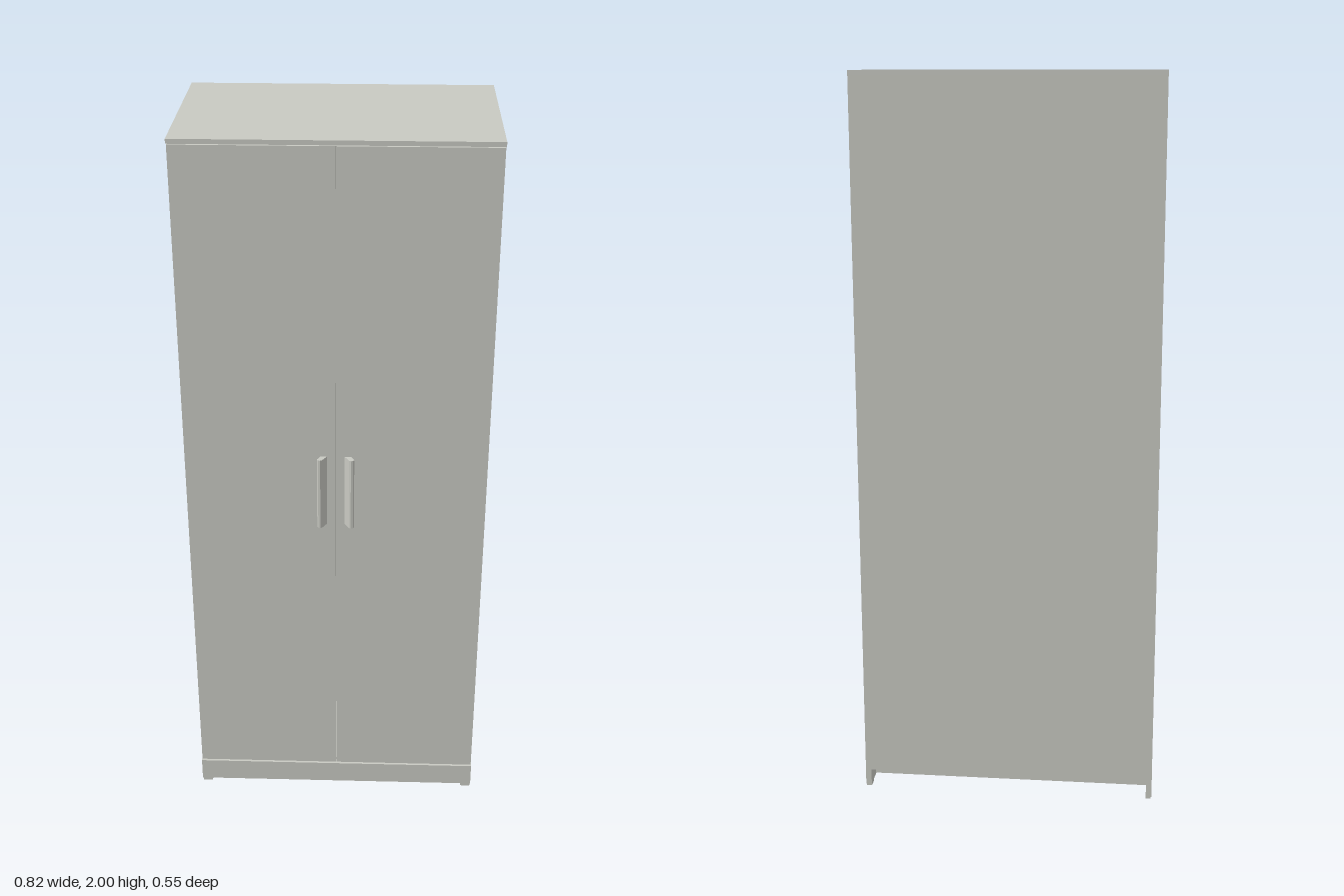
import * as THREE from 'three';

export function createModel() {
  const model = new THREE.Group();
  model.name = 'wardrobe';
  const paint = new THREE.MeshStandardMaterial({ color: 0xc8c9c2 });
  paint.name = 'warm grey paint';

  // Box given by its lower and upper corners
  const panel = (name, [x0, y0, z0], [x1, y1, z1]) => {
    const mesh = new THREE.Mesh(new THREE.BoxGeometry(x1 - x0, y1 - y0, z1 - z0), paint);
    mesh.position.set((x0 + x1) / 2, (y0 + y1) / 2, (z0 + z1) / 2);
    mesh.name = name;
    model.add(mesh);
  };

  const W = 0.408, T = 0.016, BACK = -0.275, FRONT = 0.25;
  const inner = W - T;

  // Carcass
  panel('topPanel', [-W, 1.988, BACK], [W, 2, FRONT]);
  panel('backPanel', [-inner, 0.055, BACK], [inner, 1.988, BACK + 0.012]);
  panel('bottomPanel', [-inner, 0.07, BACK + 0.012], [inner, 0.085, 0.229]);

  // Plinth and cross rails under the floor
  panel('plinth', [-W, 0.01, 0.232], [W, 0.078, FRONT]);
  panel('frontRail', [-inner, 0.012, 0.1], [inner, 0.07, 0.116]);
  panel('backRail', [-inner, 0.012, -0.21], [inner, 0.07, -0.194]);

  // Handle cross-section (x, -z), splayed outward from the door
  const section = [[0.022, 0.247], [0.039, 0.247], [0.05, 0.268], [0.047, 0.273], [0.041, 0.274], [0.036, 0.271]];

  for (const s of [1, -1]) {
    const side = s > 0 ? 'left' : 'right';
    const mirrored = (name, a, b) => s > 0
      ? panel(side + name, a, b)
      : panel(side + name, [-b[0], a[1], a[2]], [-a[0], b[1], b[2]]);

    mirrored('SidePanel', [inner, 0.01, BACK], [W, 1.988, 0.232]);
    mirrored('Door', [0.0005, 0.084, 0.232], [W - 0.002, 1.986, FRONT]);
    mirrored('FrontFoot', [W - 0.03, 0, 0.225], [W - 0.002, 0.01, FRONT - 0.002]);
    mirrored('BackFoot', [inner, 0.004, BACK + 0.002], [W - 0.002, 0.01, BACK + 0.03]);

    const shape = new THREE.Shape(section.map(([x, z]) => new THREE.Vector2(s * x, -z)));
    const grip = new THREE.ExtrudeGeometry(shape, { depth: 0.21, bevelEnabled: false });
    grip.rotateX(-Math.PI / 2).translate(0, 0.93, 0);
    const handle = new THREE.Mesh(grip, paint);
    handle.name = side + 'Handle';
    model.add(handle);
  }

  return model;
}
